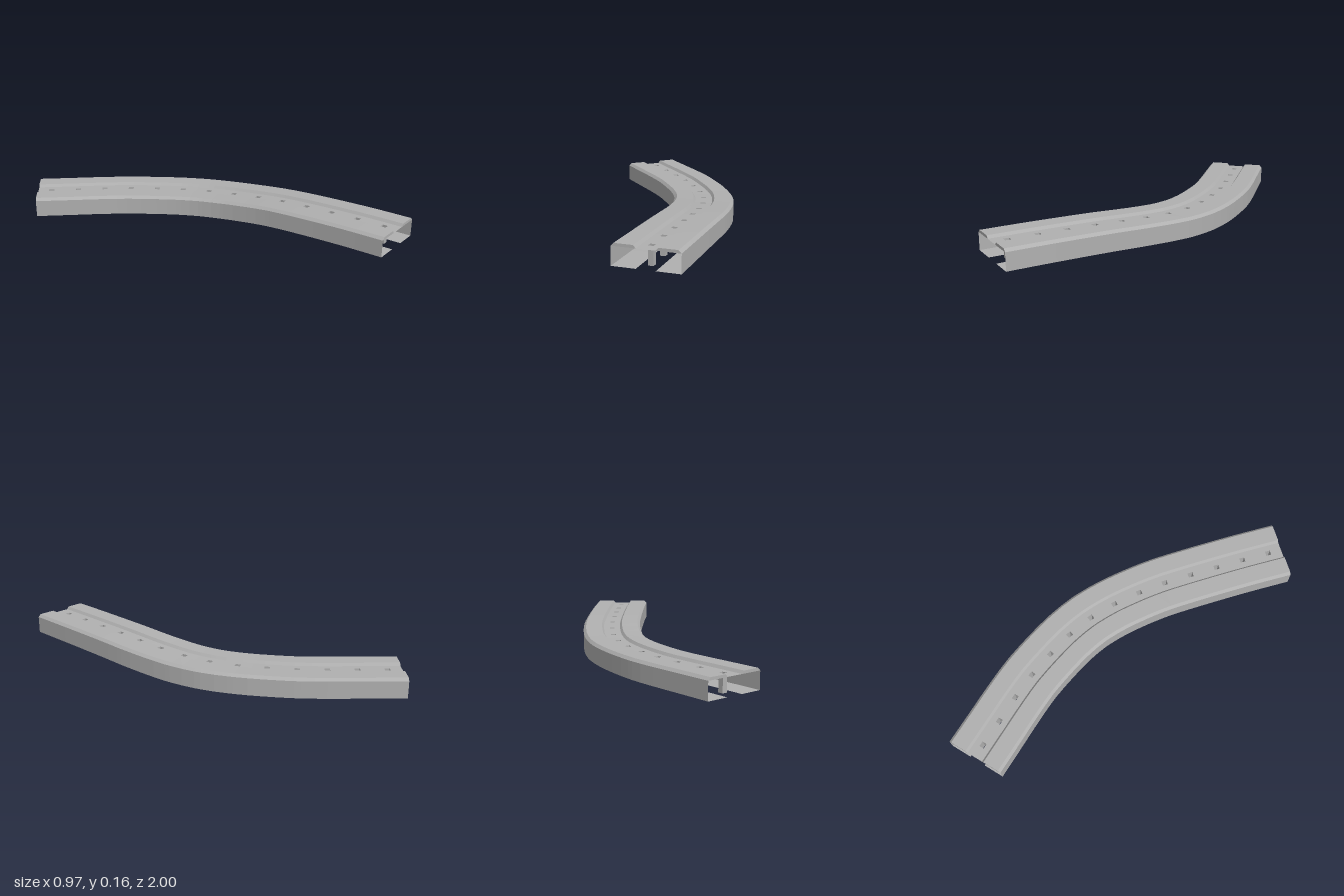
import * as THREE from 'three';

export function createModel() {
  const model = new THREE.Group();
  model.name = 'curvedTrack';
  const grey = new THREE.MeshStandardMaterial({ color: 0xb0b0b0, side: THREE.DoubleSide, flatShading: true });
  grey.name = 'plain grey';

  // Centre line: straight, then bending left while easing down to the ground
  const path = new THREE.CatmullRomCurve3([
    [0.326, 0.057, 1], [0.323, 0.053, 0.76], [0.313, 0.042, 0.44], [0.305, 0.033, 0.285],
    [0.287, 0.022, 0.14], [0.26, 0.012, 0], [0.215, 0.006, -0.14], [0.152, 0.003, -0.265],
    [0.074, 0.001, -0.385], [-0.022, 0, -0.515], [-0.135, 0, -0.64], [-0.24, 0, -0.748], [-0.374, 0, -0.887],
  ].map((p) => new THREE.Vector3(...p)), false, 'centripetal');
  path.arcLengthDivisions = 800;

  const WALL = 0.09, TOP = 0.104, HALF = 0.159, SLOT = 0.045, HOLE = 0.013;
  const holes = 14;
  const holeHalf = 0.014 / path.getLength();

  // Stations along the line; every third span is a hole
  const stations = [0];
  for (let i = 0; i < holes; i++) {
    const mid = (i + 0.5) / holes;
    stations.push(mid - holeHalf, mid + holeHalf, (i + 1) / holes);
  }
  const frames = stations.map((u) => {
    const t = path.getTangentAt(u);
    return { c: path.getPointAt(u), side: new THREE.Vector3(-t.z, 0, t.x).normalize() };
  });
  const isHole = (i) => i % 3 === 1;
  const place = (i, [o, h]) => {
    const p = frames[i].c.clone().addScaledVector(frames[i].side, o);
    p.y += h;
    return p;
  };

  function addMesh(name, quads) {
    const pos = [];
    for (const [a, b, c, d] of quads) for (const p of [a, b, c, a, c, d]) pos.push(p.x, p.y, p.z);
    const g = new THREE.BufferGeometry();
    g.setAttribute('position', new THREE.Float32BufferAttribute(pos, 3));
    g.computeVertexNormals();
    const mesh = new THREE.Mesh(g, grey);
    mesh.name = name;
    model.add(mesh);
  }

  // Sweep an open profile of [offset, height] points along the line
  function sweep(profile, use = () => true) {
    const quads = [];
    for (let i = 0; i < frames.length - 1; i++) {
      if (!use(i)) continue;
      for (let k = 0; k < profile.length - 1; k++) {
        quads.push([place(i, profile[k]), place(i, profile[k + 1]), place(i + 1, profile[k + 1]), place(i + 1, profile[k])]);
      }
    }
    return quads;
  }

  // Side rails: raised ridge, outer wall and bottom flange, mirrored
  for (const s of [-1, 1]) {
    const order = (list) => {
      const pts = list.map(([o, h]) => [o * s, h]);
      return s > 0 ? pts : pts.reverse();
    };
    const label = s > 0 ? 'left' : 'right';
    const ridge = order([[SLOT, WALL], [0.056, TOP], [0.145, TOP], [HALF, WALL]]);
    const last = frames.length - 1;
    const cap = (i) => ridge.map((p) => place(i, p));
    addMesh(label + 'Ridge', [...sweep(ridge), cap(0).reverse(), cap(last)]);
    addMesh(label + 'RidgeUnderside', sweep(order([[HALF, WALL], [SLOT, WALL]])));
    addMesh(label + 'Wall', sweep(order([[HALF, WALL], [HALF, 0]])));
    addMesh(label + 'BottomFlange', sweep(order([[HALF, 0], [SLOT, 0]])));
  }

  // Sunken channel floor with square holes
  addMesh('channelFloor', [
    ...sweep([[-SLOT, WALL], [-HOLE, WALL]]),
    ...sweep([[-HOLE, WALL], [HOLE, WALL]], (i) => !isHole(i)),
    ...sweep([[HOLE, WALL], [SLOT, WALL]]),
  ]);

  // Hollow square posts hanging below the holes
  const posts = [
    ...sweep([[HOLE, WALL], [HOLE, 0]], isHole),
    ...sweep([[-HOLE, 0], [-HOLE, WALL]], isHole),
  ];
  frames.forEach((f, i) => {
    if (!isHole(i)) return;
    const end = (j) => [[-HOLE, 0], [HOLE, 0], [HOLE, WALL], [-HOLE, WALL]].map((p) => place(j, p));
    posts.push(end(i), end(i + 1).reverse());
  });
  addMesh('hollowPosts', posts);

  return model;
}
